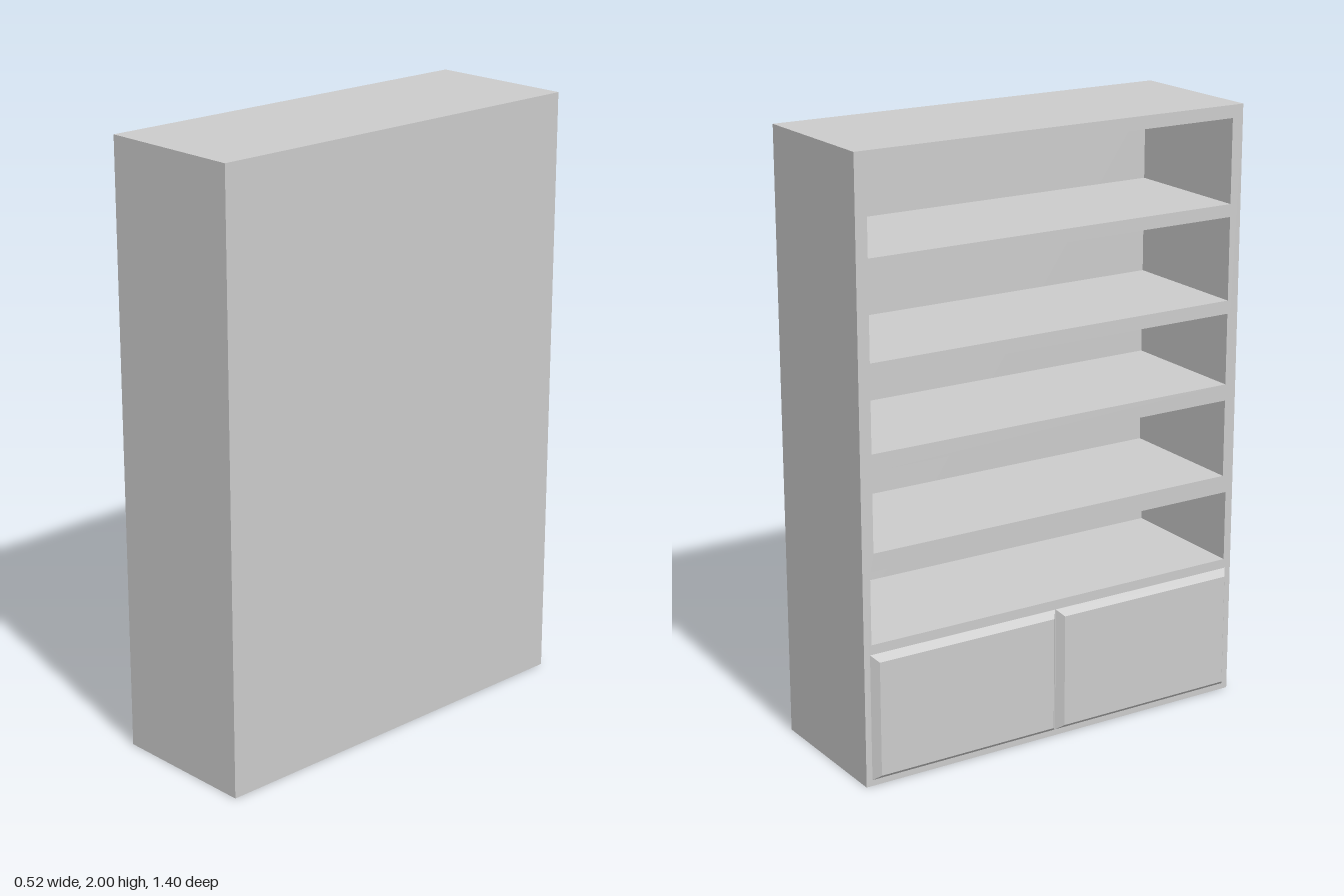
import * as THREE from 'three';

const FRONT = -0.2375, BACK = 0.2625; // the open side faces -x
const HEIGHT = 2, HALF_W = 0.7, BACK_T = 0.03;

const material = new THREE.MeshStandardMaterial({ color: 0xcccccc });

function addMesh(parent, name, geometry, x = 0, y = 0, z = 0) {
  const mesh = new THREE.Mesh(geometry, material);
  mesh.name = name;
  mesh.position.set(x, y, z);
  parent.add(mesh);
}

function rectangle(path, halfWidth, bottom, top) {
  path.moveTo(-halfWidth, bottom);
  path.lineTo(halfWidth, bottom);
  path.lineTo(halfWidth, top);
  path.lineTo(-halfWidth, top);
  path.closePath();
  return path;
}

// Block whose -x face is inset by a chamfer on all four sides
function chamferedPanel(depth, height, width, inset) {
  const geometry = new THREE.BoxGeometry(depth, height, width);
  const p = geometry.attributes.position;
  for (let i = 0; i < p.count; i++) {
    if (p.getX(i) > 0) continue;
    p.setY(i, p.getY(i) - Math.sign(p.getY(i)) * inset);
    p.setZ(i, p.getZ(i) - Math.sign(p.getZ(i)) * inset);
  }
  geometry.computeVertexNormals();
  return geometry;
}

export function createModel() {
  const group = new THREE.Group();
  group.name = 'bookcase';

  // Carcass: sides, top, base and shelves around five open compartments
  const compartments = [ // half width, bottom, top
    [0.66, 1.682, 1.958],
    [0.66, 1.365, 1.64],
    [0.66, 1.083, 1.321],
    [0.66, 0.768, 1.028],
    [0.673, 0.472, 0.709],
  ];
  const outline = rectangle(new THREE.Shape(), HALF_W, 0, HEIGHT);
  for (const c of compartments) outline.holes.push(rectangle(new THREE.Path(), ...c));
  const depth = BACK - FRONT - BACK_T;
  const carcass = new THREE.ExtrudeGeometry(outline, { depth, bevelEnabled: false });
  carcass.rotateY(-Math.PI / 2);
  addMesh(group, 'carcass', carcass, FRONT + depth);

  // Back panel
  addMesh(group, 'backPanel', new THREE.BoxGeometry(BACK_T, HEIGHT, HALF_W * 2),
    BACK - BACK_T / 2, HEIGHT / 2, 0);

  // Two chamfered cupboard doors
  for (const side of [-1, 1]) {
    addMesh(group, side < 0 ? 'rightDoor' : 'leftDoor',
      chamferedPanel(0.025, 0.42, 0.678, 0.02), FRONT - 0.0125, 0.23, side * 0.34);
  }
  return group;
}
